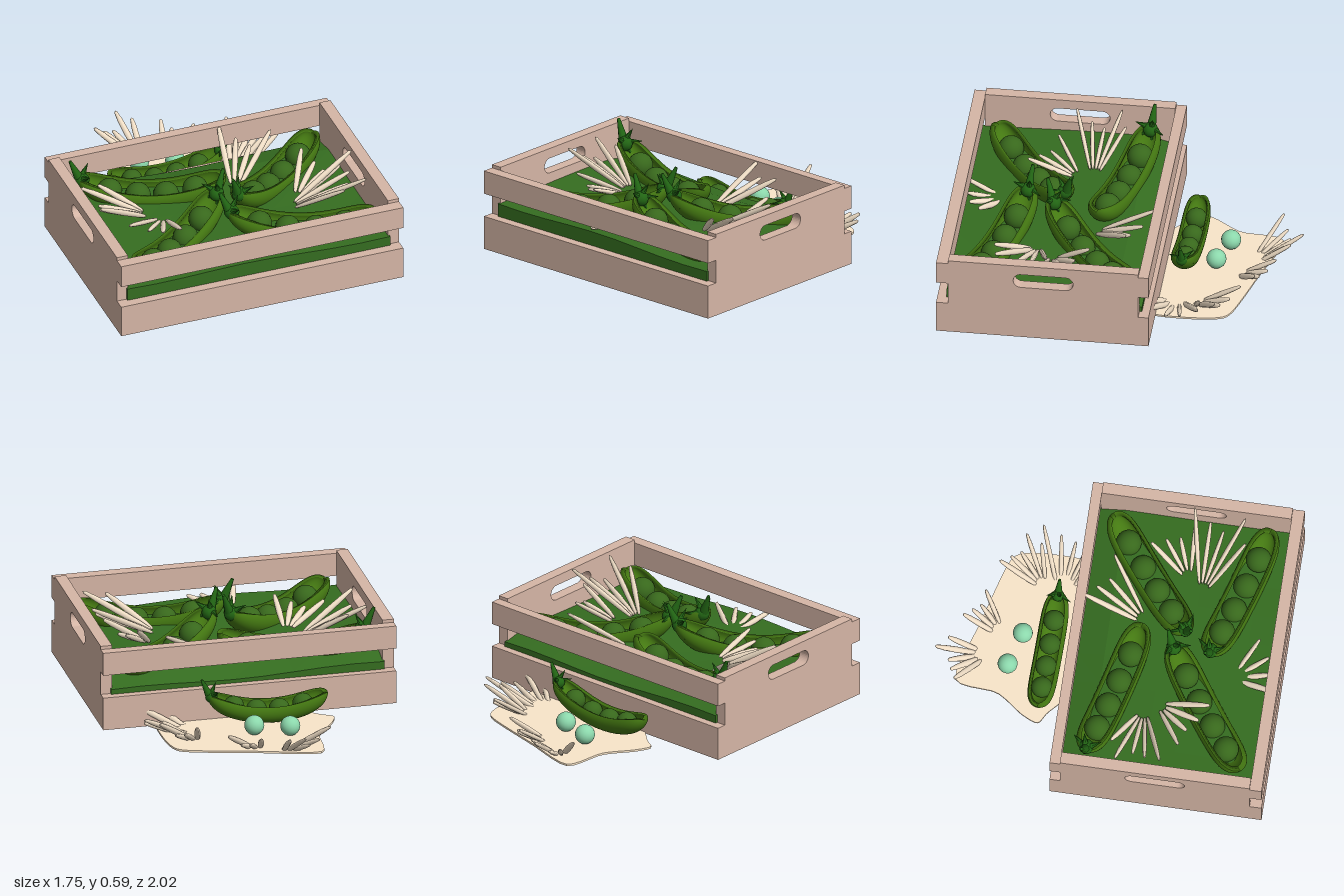
import * as THREE from 'three';
import { ParametricGeometry } from 'three/addons/geometries/ParametricGeometry.js';

const mat = (color, opts = {}) => {
  const m = new THREE.MeshStandardMaterial(opts);
  m.color.set(color);
  return m;
};
const WOOD = mat(0xd6b6a6);
const POD = mat(0x457a12, { side: THREE.DoubleSide });
const PEA = mat(0x38681c);
const CALYX = mat(0x226614);
const LEAF = mat(0x356d20, { flatShading: true });
const CLOTH = mat(0xfae6ca);
const STRAW = mat(0xf0dec6);
const MINT = mat(0x8cd8ac);

const UP = new THREE.Vector3(0, 1, 0);
const peaGeo = new THREE.SphereGeometry(0.075, 20, 14);

function add(parent, name, geo, material, x = 0, y = 0, z = 0) {
  const mesh = new THREE.Mesh(geo, material);
  mesh.name = name;
  mesh.position.set(x, y, z);
  parent.add(mesh);
  return mesh;
}

// Crate: two end panels with handle slots, slats front and back, floor
function makeCrate() {
  const crate = new THREE.Group();
  crate.name = 'crate';
  const panel = new THREE.Shape();
  panel.moveTo(-0.18, 0.05);
  panel.lineTo(0.93, 0.05);
  panel.lineTo(0.93, 0.55);
  panel.lineTo(-0.18, 0.55);
  panel.closePath();
  const slot = new THREE.Path();
  slot.absarc(0.505, 0.445, 0.045, -Math.PI / 2, Math.PI / 2);
  slot.absarc(0.245, 0.445, 0.045, Math.PI / 2, Math.PI * 1.5);
  slot.closePath();
  panel.holes.push(slot);
  const panelGeo = new THREE.ExtrudeGeometry(panel, { depth: 0.068, bevelEnabled: false, curveSegments: 8 });
  panelGeo.rotateY(-Math.PI / 2);
  add(crate, 'leftEndPanel', panelGeo, WOOD, 0.874);
  add(crate, 'rightEndPanel', panelGeo, WOOD, -0.806);
  for (const [side, z, depth] of [['front', 0.965, 0.07], ['back', -0.21, 0.06]]) {
    add(crate, side + 'LowerSlat', new THREE.BoxGeometry(1.748, 0.2, depth), WOOD, 0, 0.15, z);
    add(crate, side + 'UpperSlat', new THREE.BoxGeometry(1.748, 0.14, depth), WOOD, 0, 0.46, z);
  }
  add(crate, 'floor', new THREE.BoxGeometry(1.746, 0.03, 1.238), WOOD, 0, 0.064, 0.38);
  return crate;
}

// Uneven leafy bed inside the crate, bulging a little into the slat gaps
function makeBed() {
  const geo = new THREE.BoxGeometry(1.63, 0.24, 1.14, 9, 1, 7);
  const p = geo.attributes.position;
  for (let i = 0; i < p.count; i++) {
    if (p.getY(i) < 0) continue;
    const x = p.getX(i), z = p.getZ(i);
    const backDrop = Math.min(0, z + 0.4) * 0.25;
    p.setY(i, 0.125 - x * 0.012 + 0.01 * Math.sin(x * 5 + z * 3) + backDrop);
  }
  geo.computeVertexNormals();
  return geo;
}

// Pod spine height; the stem end (+x) curls up a little more
const HALF = 0.435;
const spineY = t => 0.11 * t * t + 0.02 * t;

// Thick open shell with blunt ends: outer wall down and round, then inner wall back
const podGeo = new ParametricGeometry((u, v, target) => {
  const t = Math.sin((u - 0.5) * Math.PI);
  const rim = 0.45;
  const inner = v > 0.46 && v < 0.98;
  const s = inner ? 1 - (v - 0.5) / 0.46 : v / 0.46;
  const k = v >= 0.98 ? 0 : THREE.MathUtils.clamp(s, 0, 1);
  const phi = -rim + k * (Math.PI + 2 * rim);
  const r = 0.1 * Math.pow(Math.max(0, 1 - t ** 6), 0.5) * (inner ? 0.78 : 1);
  target.set(HALF * t * (inner ? 0.93 : 1), spineY(t) - Math.sin(phi) * r, -Math.cos(phi) * r);
}, 36, 50);

// Broad pointed sepal and tapering stem, both growing along +y
const sepalGeo = new THREE.ConeGeometry(0.03, 0.12, 6);
sepalGeo.translate(0, 0.05, 0);
const stemGeo = new THREE.CylinderGeometry(0.009, 0.032, 0.15, 8);
stemGeo.translate(0, 0.06, 0);

// Open pod with four peas, star calyx and short stem
function makePod(x, y, z, dx, dz, scale = 1) {
  const pod = new THREE.Group();
  pod.name = 'peaPod';
  add(pod, 'podShell', podGeo, POD);
  for (const px of [-0.255, -0.085, 0.08, 0.245]) {
    add(pod, 'pea', peaGeo, PEA, px, spineY(px / HALF) - 0.008, 0);
  }
  add(pod, 'calyxCap', new THREE.SphereGeometry(0.045, 10, 8), CALYX, 0.405, 0.125, 0);
  add(pod, 'stem', stemGeo, CALYX, 0.42, 0.135, 0).rotation.z = -0.42;
  for (let i = 0; i < 5; i++) {
    const a = (i / 5) * Math.PI * 2 + 0.3;
    const sepal = add(pod, 'sepal', sepalGeo, CALYX, 0.415, 0.13, 0);
    const dir = new THREE.Vector3(-0.4, Math.cos(a) * 0.8, Math.sin(a) * 0.8).normalize();
    sepal.quaternion.setFromUnitVectors(UP, dir);
  }
  pod.position.set(x, y, z);
  pod.rotation.y = Math.atan2(-dz, dx);
  pod.scale.setScalar(scale);
  return pod;
}

// Blade of unit half-length and radius with blunt tips
const bladeGeo = new THREE.LatheGeometry(
  [[0, -1], [0.55, -0.93], [0.85, -0.6], [1, 0], [0.85, 0.6], [0.55, 0.93], [0, 1]]
    .map(([r, h]) => new THREE.Vector2(r, h)), 7);

// Fan of straw blades: base point, angle range (degrees), reach, rise, count
function makeStraw(x, y, z, a0, a1, reach, rise, n = 4) {
  const clump = new THREE.Group();
  clump.name = 'strawClump';
  for (let i = 0; i < n; i++) {
    const f = i / (n - 1);
    const a = THREE.MathUtils.degToRad(a0 + (a1 - a0) * f);
    const len = reach * (0.85 + 0.15 * Math.sin(i * 2.3 + 1));
    const lift = rise * (0.75 + 0.25 * Math.cos(i * 1.9));
    const dir = new THREE.Vector3(Math.cos(a) * len, lift, Math.sin(a) * len);
    const side = (f - 0.5) * 0.06;
    const blade = add(clump, 'strawBlade', bladeGeo, STRAW,
      x + dir.x / 2 - Math.sin(a) * side, y + lift / 2, z + dir.z / 2 + Math.cos(a) * side);
    blade.scale.set(0.019, dir.length() / 2, 0.014);
    blade.quaternion.setFromUnitVectors(UP, dir.normalize());
  }
  return clump;
}

// Thin cloth with a wavy outline, partly under the crate
function makeCloth() {
  const outline = [[-0.27, -0.88], [0.08, -0.79], [0.47, -0.68], [0.55, -0.6], [0.57, -0.4],
    [0.55, -0.2], [0.4, -0.1], [0, -0.08], [-0.28, -0.22], [-0.4, -0.32], [-0.47, -0.37], [-0.43, -0.47], [-0.32, -0.63]];
  const curve = new THREE.CatmullRomCurve3(outline.map(([x, z]) => new THREE.Vector3(x, -z, 0)), true, 'catmullrom', 0.4);
  const shape = new THREE.Shape(curve.getPoints(60).slice(0, -1).map(p => new THREE.Vector2(p.x, p.y)));
  const geo = new THREE.ExtrudeGeometry(shape, { depth: 0.012, bevelEnabled: false });
  geo.rotateX(-Math.PI / 2);
  return geo;
}

export function createModel() {
  const model = new THREE.Group();
  model.name = 'peaCrate';
  model.add(makeCrate());
  add(model, 'leafBed', makeBed(), LEAF, 0, 0.2, 0.375);
  add(model, 'cloth', makeCloth(), CLOTH, 0, 0.046, 0);

  // Pods: centre, stem direction, scale
  for (const p of [
    [-0.325, 0.328, 0.055, -0.5, -0.13],
    [0.4, 0.328, 0.165, -0.41, 0.32],
    [-0.37, 0.328, 0.6, 0.42, -0.3],
    [0.36, 0.328, 0.695, -0.5, -0.15],
    [-0.075, 0.142, -0.365, 1, 0.03, 0.82],
  ]) model.add(makePod(...p));

  // Loose peas on the cloth
  for (const [x, z] of [[-0.155, -0.59], [0.045, -0.53]]) {
    add(model, 'loosePea', new THREE.SphereGeometry(0.058, 20, 14), MINT, x, 0.116, z);
  }

  // Straw in the crate, then on the cloth
  for (const s of [
    [-0.45, 0.33, 0.24, 160, 208, 0.36, 0.2, 5],
    [-0.38, 0.34, 0.36, 92, 148, 0.27, 0.1],
    [0.17, 0.33, 0.13, -82, -38, 0.34, 0.2],
    [-0.11, 0.31, 0.76, 30, 106, 0.24, 0.08],
    [0.48, 0.33, 0.36, -60, -2, 0.24, 0.16],
    [0.41, 0.34, 0.48, -12, 38, 0.41, 0.22, 5],
    [-0.1, 0.03, -0.76, -145, -88, 0.26, 0.18, 5],
    [0.08, 0.04, -0.69, -78, -35, 0.2, 0.13],
    [0.4, 0.04, -0.48, -75, -15, 0.25, 0.17, 5],
    [0.37, 0.01, -0.34, -22, 36, 0.37, 0.19, 5],
  ]) model.add(makeStraw(...s));
  return model;
}
